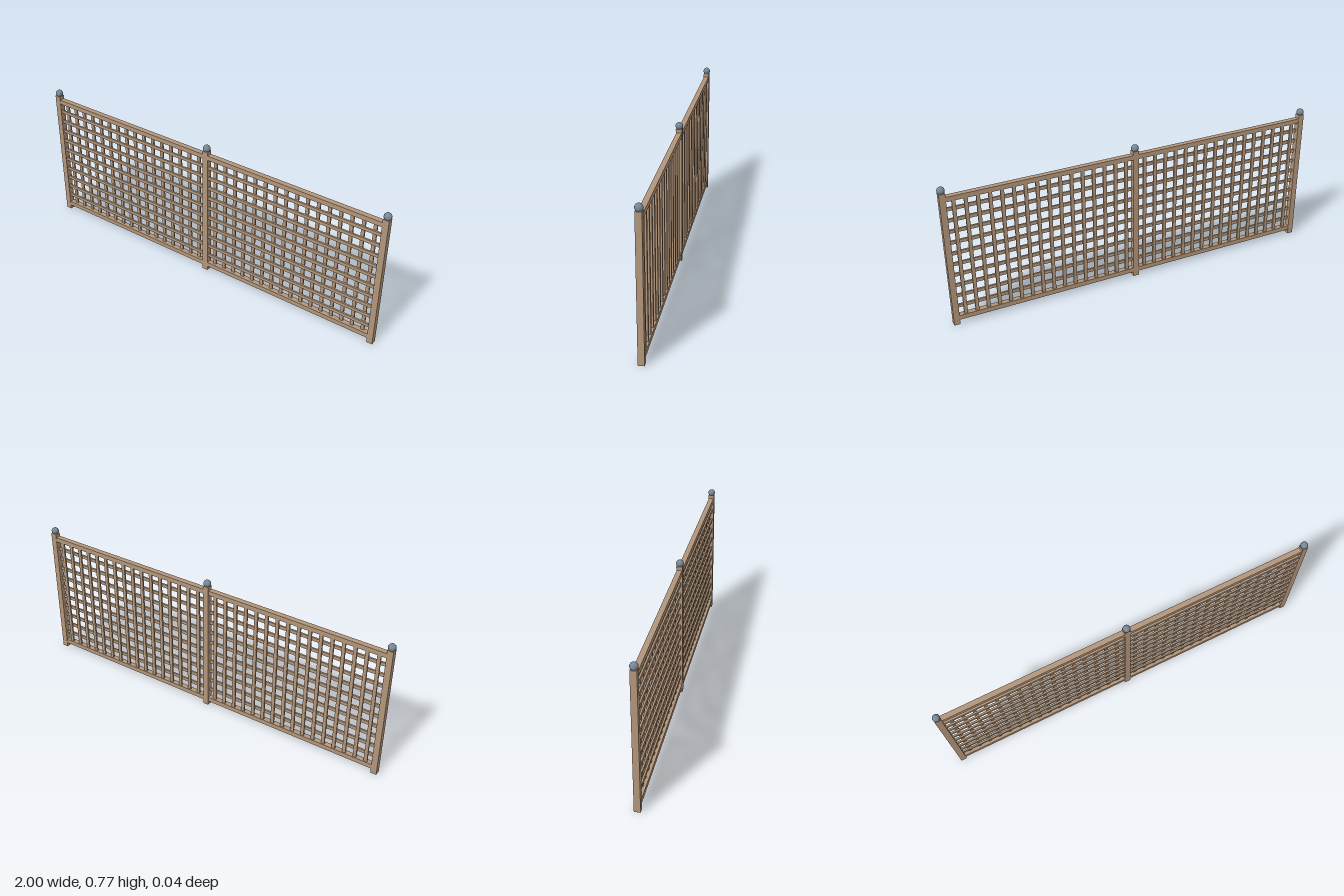
import * as THREE from 'three';

export function createModel() {
  const group = new THREE.Group();
  group.name = 'latticeFence';

  const wood = new THREE.MeshStandardMaterial({ color: 0xb2957a });
  wood.name = 'tan wood';
  const metal = new THREE.MeshStandardMaterial({ color: 0x768896 });
  metal.name = 'slate metal';

  const postX = 0.981, postW = 0.031, postH = 0.736;
  const ballR = 0.019;
  const railH = 0.025, lowY = 0.037, highY = 0.704;
  const slatW = 0.018, slatT = 0.009;

  function box(name, w, h, d, x, y, z, parent) {
    const mesh = new THREE.Mesh(new THREE.BoxGeometry(w, h, d), wood);
    mesh.name = name;
    mesh.position.set(x, y, z);
    parent.add(mesh);
  }

  // Posts with ball finials
  for (const x of [-postX, 0, postX]) {
    box('post', postW, postH, postW, x, postH / 2, 0, group);
    const ball = new THREE.Mesh(new THREE.SphereGeometry(ballR, 24, 16), metal);
    ball.name = 'postFinial';
    ball.position.set(x, 0.749, 0);
    group.add(ball);
  }

  // Two identical panels between the posts
  const span = postX - postW;
  for (const side of [-1, 1]) {
    const panel = new THREE.Group();
    panel.name = side < 0 ? 'rightPanel' : 'leftPanel';
    panel.position.x = side * postX / 2;
    group.add(panel);

    // Top and bottom rails
    box('bottomRail', span, railH, 0.027, 0, lowY, 0, panel);
    box('topRail', span, railH, 0.027, 0, highY, 0, panel);

    // Horizontal slats on the front
    const rows = 10, stepY = (highY - lowY) / (rows + 1);
    for (let i = 1; i <= rows; i++) {
      box('horizontalSlat', span, slatW, slatT, 0, lowY + i * stepY, slatT / 2, panel);
    }

    // Vertical slats on the back
    const columns = 16, stepX = 0.0585;
    for (let i = 0; i < columns; i++) {
      const x = (i - (columns - 1) / 2) * stepX;
      box('verticalSlat', slatW, highY - lowY - railH, slatT, x, (lowY + highY) / 2, -slatT / 2, panel);
    }
  }

  return group;
}
